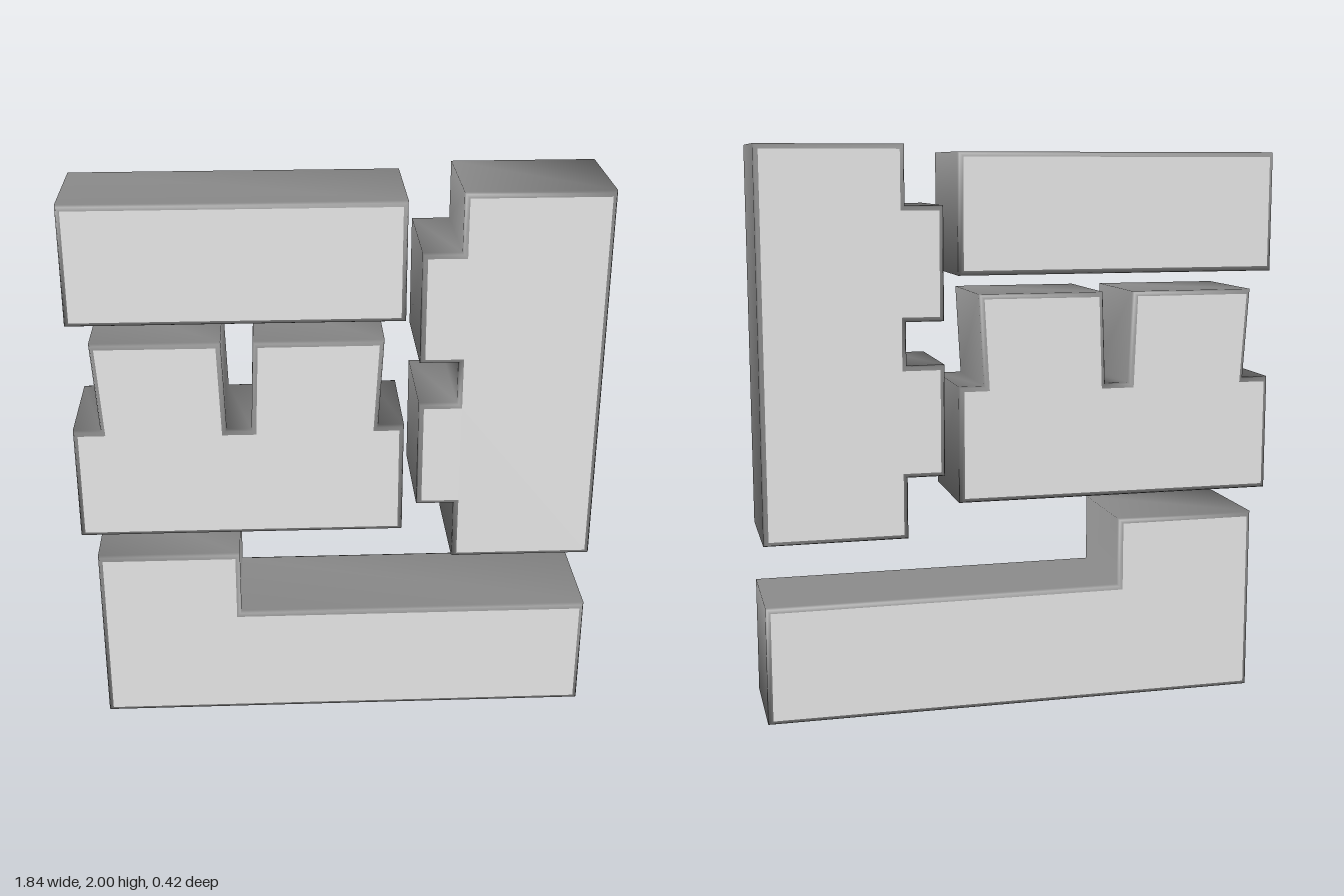
import * as THREE from 'three';
import { mergeVertices } from 'three/addons/utils/BufferGeometryUtils.js';

const DEPTH = 0.42, BEVEL = 0.017;

// Copy one extrude group (0 = caps, 1 = rim) into its own geometry
function takeGroup(source, index) {
  const { start, count } = source.groups[index];
  const geometry = new THREE.BufferGeometry();
  const points = source.attributes.position.array.slice(start * 3, (start + count) * 3);
  geometry.setAttribute('position', new THREE.BufferAttribute(points, 3));
  return geometry;
}

// Bevelled slab from an outline: flat light caps and a smooth-shaded darker rim
function block(name, outline, capMaterial, rimMaterial) {
  const shape = new THREE.Shape(outline.map(([x, y]) => new THREE.Vector2(x, y)));
  const solid = new THREE.ExtrudeGeometry(shape, {
    depth: DEPTH - 2 * BEVEL, bevelEnabled: true, bevelSegments: 2,
    bevelThickness: BEVEL, bevelSize: BEVEL, bevelOffset: -BEVEL,
  });
  solid.translate(0, 0, BEVEL - DEPTH / 2);

  const caps = takeGroup(solid, 0);
  caps.computeVertexNormals();
  const rim = mergeVertices(takeGroup(solid, 1), 1e-4);
  rim.computeVertexNormals();

  const group = new THREE.Group();
  group.name = name;
  for (const [part, geometry, material] of [['Caps', caps, capMaterial], ['Rim', rim, rimMaterial]]) {
    const mesh = new THREE.Mesh(geometry, material);
    mesh.name = name + part;
    group.add(mesh);
  }
  return group;
}

export function createModel() {
  const model = new THREE.Group();
  model.name = 'strokeBlocks';
  const lightGrey = new THREE.MeshStandardMaterial({ color: 0xe6e6e6 });
  lightGrey.name = 'light grey';
  const darkGrey = new THREE.MeshStandardMaterial({ color: 0x8a8a8a });
  darkGrey.name = 'dark grey';

  const outlines = {
    // Plain bar at the top left
    topBar: [[-0.92, 1.555], [0.23, 1.555], [0.23, 1.975], [-0.92, 1.975]],
    // Wide base with two flared upright prongs
    prongedBlock: [
      [-0.92, 0.757], [0.23, 0.757], [0.23, 1.17], [0.14, 1.17], [0.158, 1.49],
      [-0.29, 1.49], [-0.302, 1.165], [-0.388, 1.165], [-0.4, 1.49],
      [-0.845, 1.49], [-0.825, 1.17], [-0.92, 1.17],
    ],
    // Tall post with two tabs on its inner side
    tabbedPost: [
      [0.413, 0.64], [0.917, 0.64], [0.917, 2], [0.413, 2], [0.413, 1.795],
      [0.28, 1.795], [0.28, 1.4], [0.413, 1.4], [0.413, 1.25], [0.28, 1.25],
      [0.28, 0.857], [0.413, 0.857],
    ],
    // Long foot with a raised left end
    steppedFoot: [
      [-0.868, 0], [0.917, 0], [0.917, 0.422], [-0.356, 0.422],
      [-0.356, 0.668], [-0.868, 0.668],
    ],
  };
  for (const [name, outline] of Object.entries(outlines)) {
    model.add(block(name, outline, lightGrey, darkGrey));
  }
  return model;
}
